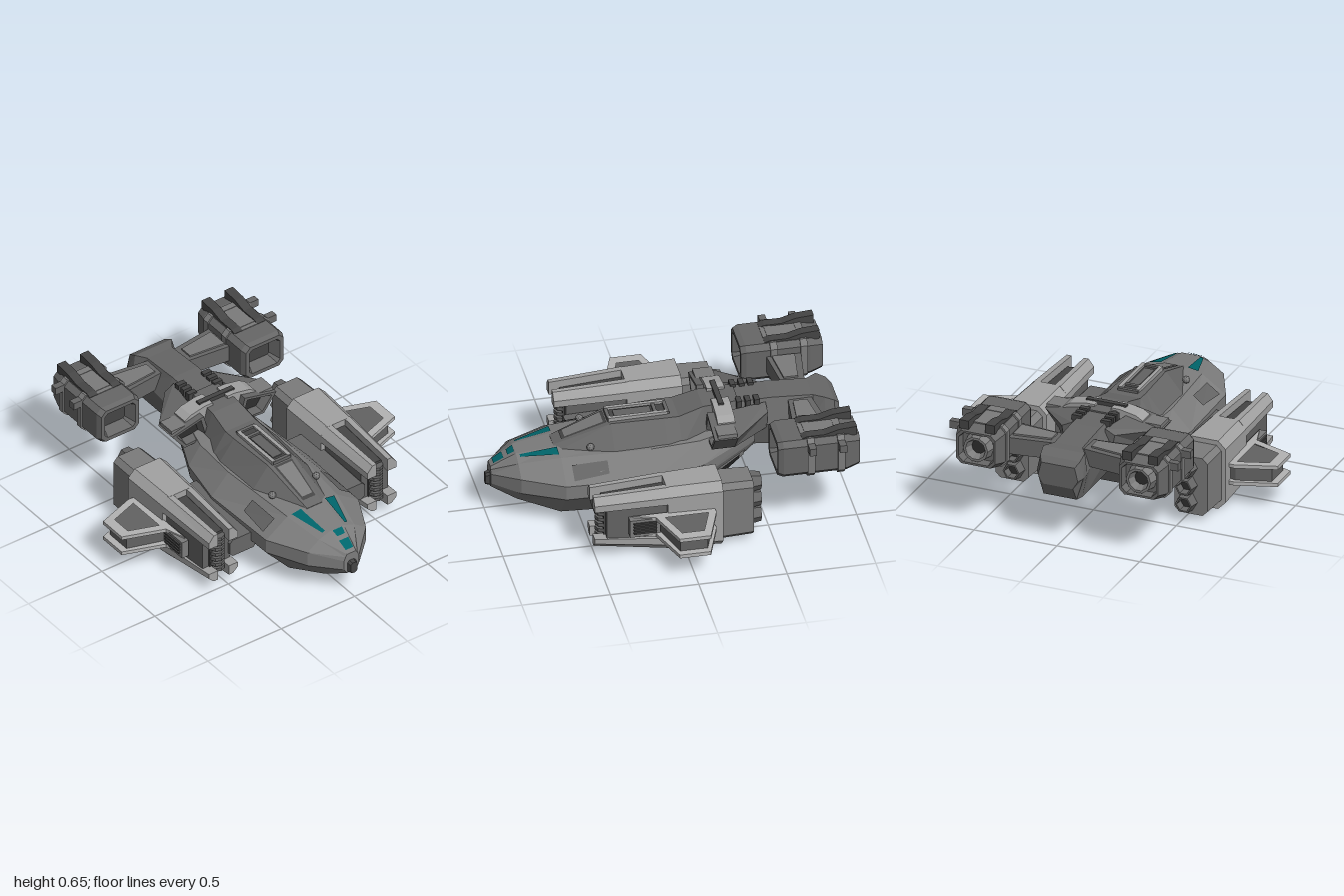
import * as THREE from 'three';

const mat = (name, color, both) => {
  const m = new THREE.MeshStandardMaterial({ color, side: both ? THREE.DoubleSide : THREE.FrontSide });
  m.name = name;
  return m;
};

export function createModel() {
  const hullGrey = mat('hull grey', 0x7c7c7c), frameGrey = mat('frame grey', 0x676767);
  const lightGrey = mat('light armour', 0xa2a2a2), rimGrey = mat('pale rim', 0xb4b4b4);
  const darkGrey = mat('dark metal', 0x454545), black = mat('recess', 0x2e2e2e, true);
  const panelGrey = mat('panel grey', 0x636363, true), glass = mat('teal glass', 0x00646a, true);

  const root = new THREE.Group(), half = new THREE.Group();
  root.name = 'gunship';

  // Helpers: flat shaded mesh, loft through rings (front to back), box from limits, flat slab, surface plate
  const add = (parent, name, geo, material) => {
    const g = geo.index ? geo.toNonIndexed() : geo;
    g.computeVertexNormals();
    const m = new THREE.Mesh(g, material);
    m.name = name;
    parent.add(m);
    return m;
  };
  const fromTris = (tris) => {
    const g = new THREE.BufferGeometry();
    g.setAttribute('position', new THREE.Float32BufferAttribute(tris.flat(), 3));
    return g;
  };
  const loft = (rings) => {
    const t = [], n = rings[0].length, last = rings[rings.length - 1];
    for (let i = 0; i < rings.length - 1; i++) for (let j = 0; j < n; j++) {
      const k = (j + 1) % n, a = rings[i][j], b = rings[i][k], c = rings[i + 1][k], d = rings[i + 1][j];
      t.push(a, d, c, a, c, b);
    }
    for (let j = 1; j < n - 1; j++) {
      t.push(rings[0][0], rings[0][j], rings[0][j + 1]);
      t.push(last[0], last[j + 1], last[j]);
    }
    return fromTris(t);
  };
  const box = (x0, x1, y0, y1, z0, z1) =>
    new THREE.BoxGeometry(x1 - x0, y1 - y0, z1 - z0).translate((x0 + x1) / 2, (y0 + y1) / 2, (z0 + z1) / 2);
  const slab = (pts, y0, y1, hole) => {
    const v = (p) => p.map(([x, z]) => new THREE.Vector2(x, -z));
    const s = new THREE.Shape(v(pts));
    if (hole) s.holes.push(new THREE.Path(v(hole)));
    return new THREE.ExtrudeGeometry(s, { depth: y1 - y0, bevelEnabled: false }).rotateX(-Math.PI / 2).translate(0, y0, 0);
  };
  const plate = (p, lift = 0.006) => {
    const [a, b, c, d] = p.map((q) => new THREE.Vector3(...q));
    const n = c.clone().sub(a).cross(d.clone().sub(b)).normalize();
    const mid = a.clone().add(c).multiplyScalar(0.5);
    const flip = n.dot(new THREE.Vector3(mid.x, mid.y - 0.25, 0)) < 0;
    const q = [a, b, c, d].map((w) => w.addScaledVector(n, flip ? -lift : lift).toArray());
    return fromTris(flip ? [q[0], q[2], q[1], q[0], q[3], q[2]] : [q[0], q[1], q[2], q[0], q[2], q[3]]);
  };
  const mirrorRing = (z, pts) =>
    [...pts.map(([x, y]) => [-x, y, z]), ...pts.slice().reverse().map(([x, y]) => [x, y, z])];
  const oct = (cx, cy, z, w, h, c) => [[w, -h + c], [w, h - c], [w - c, h], [c - w, h], [-w, h - c], [-w, c - h], [c - w, -h], [w - c, -h]]
    .map(([x, y]) => [cx + x, cy + y, z]);
  const circle = (cx, cy, z, r, n) => Array.from({ length: n }, (_, i) =>
    [cx + r * Math.cos(i * 2 * Math.PI / n), cy + r * Math.sin(i * 2 * Math.PI / n), z]);

  // Main hull: half sections run top, shoulder, upper side, lower side, keel
  const hull = [
    [0.97, [[0.03, 0.29], [0.04, 0.275], [0.05, 0.25], [0.05, 0.19], [0.03, 0.16]]],
    [0.83, [[0.05, 0.37], [0.12, 0.345], [0.2, 0.29], [0.2, 0.2], [0.08, 0.09]]],
    [0.6, [[0.07, 0.4], [0.17, 0.385], [0.315, 0.285], [0.315, 0.2], [0.16, 0.025]]],
    [0.1, [[0.1, 0.41], [0.21, 0.4], [0.325, 0.28], [0.325, 0.2], [0.18, 0.012]]],
    [-0.18, [[0.1, 0.43], [0.2, 0.41], [0.28, 0.3], [0.27, 0.22], [0.16, 0.03]]],
    [-0.5, [[0.08, 0.45], [0.12, 0.44], [0.15, 0.38], [0.14, 0.33], [0.1, 0.28]]],
  ];
  add(root, 'hull', loft(hull.map(([z, p]) => mirrorRing(z, p))), hullGrey);
  const onHull = (i, j, u, v) => {
    const at = (k) => [0, 1].map((c) => THREE.MathUtils.lerp(hull[k][1][j][c], hull[k][1][j + 1][c], u));
    const a = at(i), b = at(i + 1);
    return [a[0] + (b[0] - a[0]) * v, a[1] + (b[1] - a[1]) * v, hull[i][0] + (hull[i + 1][0] - hull[i][0]) * v];
  };
  const hullPlate = (name, i, j, [u0, u1, u2, u3], v0, v1, m, lift) =>
    add(half, name, plate([onHull(i, j, u0, v0), onHull(i, j, u1, v0), onHull(i, j, u2, v1), onHull(i, j, u3, v1)], lift), m);
  hullPlate('sideWindow', 1, 0, [0.2, 0.45, 0.75, 0.12], 0.08, 0.98, glass);
  hullPlate('shoulderPanel', 2, 1, [0.3, 0.85, 0.7, 0.25], 0.1, 0.5, panelGrey, 0.009);
  hullPlate('bellyVent', 2, 3, [0.25, 0.6, 0.6, 0.25], 0.5, 0.85, black, 0.009);
  hullPlate('rearVentFrame', 4, 3, [0.1, 0.9, 0.9, 0.1], 0.12, 0.8, lightGrey, 0.007);
  hullPlate('rearVent', 4, 3, [0.25, 0.75, 0.75, 0.25], 0.22, 0.7, black, 0.011);

  // Nose windows, sensor and chin panel
  for (const [v0, v1] of [[0.15, 0.55], [0.72, 0.98]]) {
    const a = onHull(0, 0, 0, v0), b = onHull(0, 0, 0, v1), w = 0.026;
    add(root, 'noseWindow', plate([[w, a[1], a[2]], [-w, a[1], a[2]], [-w - 0.006, b[1], b[2]], [w + 0.006, b[1], b[2]]]), glass);
  }
  add(root, 'noseSensor', loft([oct(0, 0.2, 0.995, 0.022, 0.035, 0.012), oct(0, 0.2, 0.94, 0.035, 0.05, 0.014)]), darkGrey);
  add(root, 'chinPanel', plate([[0.1, 0.045, 0.68], [-0.1, 0.045, 0.68], [-0.13, 0.027, 0.61], [0.13, 0.027, 0.61]], 0.008), panelGrey);

  // Raised spine with roof hatch
  const spine = [[0.62, 0.1, 0.38, 0.05, 0.4], [0.3, 0.19, 0.39, 0.085, 0.515], [0, 0.215, 0.38, 0.1, 0.52],
    [-0.08, 0.2, 0.38, 0.1, 0.52], [-0.22, 0.15, 0.38, 0.09, 0.56], [-0.42, 0.13, 0.38, 0.085, 0.57]];
  add(root, 'spine', loft(spine.map(([z, bw, by, tw, ty]) => mirrorRing(z, [[tw, ty], [bw, by]]))), frameGrey);
  add(root, 'hatchFloor', box(-0.05, 0.05, 0.515, 0.523, -0.02, 0.3), darkGrey);
  add(root, 'hatchPanel', box(-0.03, 0.03, 0.52, 0.528, 0.06, 0.27), panelGrey);
  add(half, 'hatchRail', box(0.042, 0.064, 0.51, 0.537, -0.02, 0.31), lightGrey);
  for (const z of [-0.025, 0.04, 0.305]) add(root, 'hatchBar', box(-0.06, 0.06, 0.515, 0.534, z - 0.01, z + 0.01), frameGrey);
  for (const [w, z0, z1, l, m] of [[1.12, 0.32, 0.57, 0.005, darkGrey], [0.9, 0.335, 0.55, 0.009, hullGrey]]) {
    const y = (z) => 0.515 - (z - 0.3) * 0.36;
    add(root, 'spinePanel', plate([[0.055 * w, y(z0), z0], [-0.055 * w, y(z0), z0], [-0.038 * w, y(z1), z1], [0.038 * w, y(z1), z1]], l), m);
  }
  add(half, 'shoulderKnob', new THREE.IcosahedronGeometry(0.022, 1).translate(0.15, 0.42, 0.43), hullGrey);

  // Tail boom and its cooling ribs
  const boom = [[-0.35, 0.085, 0.56, 0.14, 0.44, 0.1, 0.3], [-0.6, 0.085, 0.565, 0.15, 0.43, 0.11, 0.28],
    [-0.84, 0.085, 0.55, 0.13, 0.43, 0.11, 0.28], [-0.9, 0.125, 0.55, 0.14, 0.43, 0.11, 0.28],
    [-0.955, 0.12, 0.52, 0.14, 0.42, 0.1, 0.285], [-0.985, 0.1, 0.49, 0.12, 0.41, 0.09, 0.36]];
  add(root, 'tailBoom', loft(boom.map(([z, a, b, c, d, e, f]) => mirrorRing(z, [[a, b], [c, d], [e, f]]))), frameGrey);
  for (const z of [-0.42, -0.47, -0.52]) add(half, 'boomRib', box(0.06, 0.115, 0.53, 0.58, z - 0.015, z + 0.015), darkGrey);

  // Dorsal intakes and top plates
  const intake = [[0.355, 0.5], [0.14, 0.55], [0.1, 0.4], [0.27, 0.39]];
  const ring = (k, z) => intake.map(([x, y]) => [0.22 + (x - 0.22) * k, 0.46 + (y - 0.46) * k, z]);
  add(half, 'dorsalIntake', loft([ring(0.66, -0.29), ring(0.78, -0.23), ring(1, -0.23), ring(1, -0.36),
    [[0.16, 0.52, -0.57], [0.1, 0.55, -0.57], [0.1, 0.42, -0.57], [0.14, 0.41, -0.57]]]), frameGrey);
  add(half, 'intakeDuct', loft([ring(0.66, -0.284), ring(0.66, -0.289)]), black);
  const cap = [[0.24, 0.5], [0.24, 0.535], [0.2, 0.56], [0.1, 0.58], [0.05, 0.58], [0.05, 0.5]];
  add(half, 'dorsalPlate', loft([-0.27, -0.37].map((z) => cap.map(([x, y]) => [x, y, z]))), lightGrey);
  add(half, 'dorsalEndCap', box(0.24, 0.345, 0.49, 0.525, -0.36, -0.25), hullGrey);
  add(root, 'dorsalCrossBar', box(-0.12, 0.12, 0.555, 0.588, -0.33, -0.3), darkGrey);

  // Struts joining the hull to the weapon pods
  add(half, 'podStrut', loft([oct(0.37, 0.2, 0.46, 0.09, 0.055, 0.02), oct(0.37, 0.2, -0.08, 0.09, 0.07, 0.02)]), frameGrey);

  // Weapon pod: armoured body, four prongs around a ribbed core, triple exhaust
  const px = 0.54, py = 0.21;
  add(half, 'podBody', loft([oct(px, py, 0.1, 0.12, 0.2, 0.045), oct(px, py, -0.21, 0.13, 0.208, 0.045)]), lightGrey);
  add(half, 'podRear', loft([oct(px, py, -0.2, 0.105, 0.18, 0.03), oct(px, py, -0.39, 0.1, 0.175, 0.03)]), hullGrey);
  const prong = [[0.045, 0.11], [0.12, 0.11], [0.12, 0.155], [0.08, 0.2], [0.045, 0.2]];
  for (const sx of [1, -1]) for (const sy of [1, -1]) {
    const at = (z, kx, ky) => {
      const r = prong.map(([x, y]) => [px + sx * x * kx, py + sy * y * ky, z]);
      return sx * sy < 0 ? r.reverse() : r;
    };
    add(half, 'podProng', loft([at(0.51, 0.82, sy > 0 ? 0.9 : 0.68), at(0.09, 1, 1)]), lightGrey);
  }
  add(half, 'podCore', box(px - 0.092, px + 0.092, 0.11, 0.32, 0.09, 0.44), panelGrey);
  add(half, 'podSlotCore', loft([oct(px, 0.22, 0.45, 0.05, 0.13, 0.015), oct(px, 0.2, 0.09, 0.055, 0.17, 0.015)]), darkGrey);
  for (let i = 0; i < 7; i++)
    add(half, 'podRib', new THREE.CylinderGeometry(0.045, 0.045, 0.02, 8).translate(px, 0.115 + i * 0.035, 0.445), panelGrey);
  for (const y of [0.11, 0.215, 0.32]) {
    add(half, 'podExhaust', loft([circle(px - 0.02, y, -0.38, 0.062, 6), circle(px - 0.02, y, -0.45, 0.05, 6),
      circle(px - 0.02, y, -0.45, 0.04, 6), circle(px - 0.02, y, -0.4, 0.034, 6)]), frameGrey);
    add(half, 'exhaustCore', loft([circle(px - 0.02, y, -0.4, 0.033, 6), circle(px - 0.02, y, -0.405, 0.033, 6)]), black);
  }

  // Side winglet: two framed skins over a dark core
  const wing = [[0.65, -0.16], [0.7, -0.165], [0.93, -0.085], [0.93, 0.09], [0.69, 0.175], [0.65, 0.3]];
  const inner = [[0.7, -0.12], [0.87, -0.06], [0.87, 0.065], [0.7, 0.125]];
  for (const y of [0.14, 0.245]) add(half, 'wingletFrame', slab(wing, y, y + 0.022, inner), rimGrey);
  add(half, 'wingletCore', slab([[0.65, -0.13], [0.7, -0.14], [0.89, -0.075], [0.89, 0.08], [0.66, 0.15]], 0.15, 0.256), panelGrey);
  add(half, 'wingletBox', box(0.64, 0.685, 0.15, 0.258, 0.15, 0.32), hullGrey);
  for (let i = 0; i < 4; i++) add(half, 'wingletSlat', box(0.66, 0.695, 0.172 + i * 0.02, 0.182 + i * 0.02, 0.17, 0.3), darkGrey);

  // Engine pylon
  add(half, 'enginePylon', slab([[0.08, -0.83], [0.37, -0.87], [0.37, -0.67], [0.08, -0.7]], 0.44, 0.54), frameGrey);
  add(half, 'pylonPanel', slab([[0.12, -0.8], [0.34, -0.83], [0.34, -0.7], [0.12, -0.72]], 0.535, 0.55), hullGrey);

  // Engine nacelle with square intake, straps, top fins and round nozzle
  const nx = 0.492, ny = 0.495;
  const o = (z, w, h, c = 0.03) => oct(nx, ny, z, w, h, c);
  add(half, 'nacelle', loft([o(-0.6, 0.075, 0.055, 0.01), o(-0.53, 0.105, 0.082, 0.02), o(-0.53, 0.128, 0.105), o(-0.56, 0.14, 0.115),
    o(-0.92, 0.14, 0.115), o(-0.995, 0.118, 0.1), o(-0.995, 0.105, 0.088), o(-0.94, 0.1, 0.083)]), frameGrey);
  add(half, 'nacelleIntake', loft([o(-0.594, 0.073, 0.053, 0.01), o(-0.599, 0.073, 0.053, 0.01)]), darkGrey);
  for (const z of [-0.715, -0.885]) {
    add(half, 'nacelleStrap', loft([o(z + 0.02, 0.148, 0.122), o(z - 0.02, 0.148, 0.122)]), hullGrey);
    add(half, 'nacelleStud', box(0.62, 0.69, 0.55, 0.595, z - 0.02, z + 0.02), frameGrey);
  }
  add(half, 'nacelleTopPanel', box(nx - 0.05, nx + 0.05, 0.605, 0.614, -0.9, -0.67), hullGrey);
  for (const s of [-1, 1]) {
    const x = nx + s * 0.078;
    const fin = (z, y0, y1) => [[x + 0.028, y0, z], [x + 0.028, y1, z], [x - 0.028, y1, z], [x - 0.028, y0, z]];
    add(half, 'nacelleFin', loft([fin(-0.67, 0.58, 0.612), fin(-0.7, 0.58, 0.622), fin(-0.8, 0.58, 0.622),
      fin(-0.88, 0.58, 0.645), fin(-0.98, 0.6, 0.652)]), darkGrey);
  }
  add(half, 'nozzle', loft([circle(nx, ny, -0.93, 0.088, 10), circle(nx, ny, -1, 0.075, 10),
    circle(nx, ny, -1, 0.06, 10), circle(nx, ny, -0.95, 0.042, 10)]), hullGrey);
  add(half, 'nozzleCore', loft([circle(nx, ny, -0.95, 0.041, 10), circle(nx, ny, -0.955, 0.041, 10)]), black);

  // Mirror every left part to the right, keeping faces outward
  const left = new THREE.Group(), right = new THREE.Group();
  left.name = 'leftSide';
  right.name = 'rightSide';
  for (const m of [...half.children]) {
    const g = m.geometry.clone().scale(-1, 1, 1), p = g.attributes.position, a = p.array;
    for (let i = 0; i < a.length; i += 9) for (let k = 3; k < 6; k++) [a[i + k], a[i + k + 3]] = [a[i + k + 3], a[i + k]];
    add(right, m.name, g, m.material);
    left.add(m);
  }
  root.add(left, right);
  return root;
}
